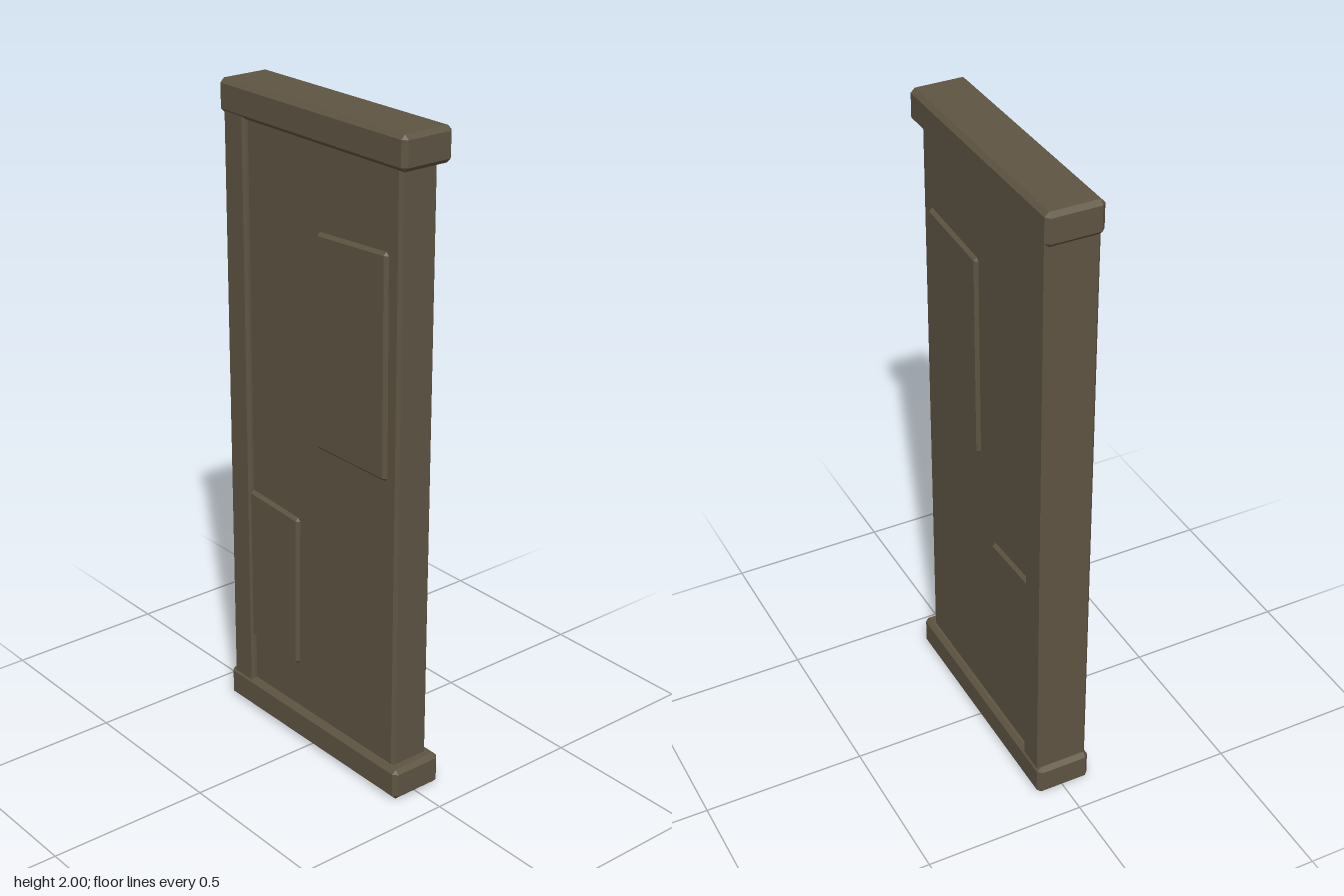
import * as THREE from 'three';
import { ConvexGeometry } from 'three/addons/geometries/ConvexGeometry.js';

const stone = new THREE.MeshStandardMaterial({ color: 0x5e5442 });
stone.name = 'brown stone';

// Block from a four-cornered front outline, with all edges chamfered by c
function chamferedBlock(name, outline, halfDepth, c) {
  const cx = outline.reduce((s, p) => s + p[0], 0) / 4;
  const cy = outline.reduce((s, p) => s + p[1], 0) / 4;
  const points = [];
  for (const [x, y] of outline) {
    const ix = x - Math.sign(x - cx) * c;
    const iy = y - Math.sign(y - cy) * c;
    for (const s of [-1, 1]) {
      points.push(
        new THREE.Vector3(x, iy, s * (halfDepth - c)),
        new THREE.Vector3(ix, y, s * (halfDepth - c)),
        new THREE.Vector3(ix, iy, s * halfDepth)
      );
    }
  }
  const mesh = new THREE.Mesh(new ConvexGeometry(points), stone);
  mesh.name = name;
  return mesh;
}

const rect = (x0, x1, y0, y1) => [[x0, y0], [x1, y0], [x1, y1], [x0, y1]];

export function createModel() {
  const group = new THREE.Group();
  group.name = 'wallPanel';
  group.add(
    // Frame: base, top cap and the single side post
    chamferedBlock('baseCap', rect(-0.4, 0.4, 0, 0.1), 0.086, 0.013),
    chamferedBlock('topCap', rect(-0.4, 0.4, 1.9, 2), 0.086, 0.013),
    chamferedBlock('sidePost', rect(-0.385, -0.29, 0.05, 1.95), 0.081, 0.008),
    // Recessed wall between the caps
    chamferedBlock('wall', rect(-0.34, 0.365, 0.05, 1.95), 0.065, 0.009),
    // Raised slabs, showing on both faces
    chamferedBlock('upperSlab', [[0.015, 1.0], [0.325, 1.0], [0.32, 1.665], [0.022, 1.65]], 0.075, 0.01),
    chamferedBlock('lowerSlab', [[-0.33, 0.25], [-0.07, 0.245], [-0.065, 0.74], [-0.33, 0.755]], 0.075, 0.01)
  );
  return group;
}
